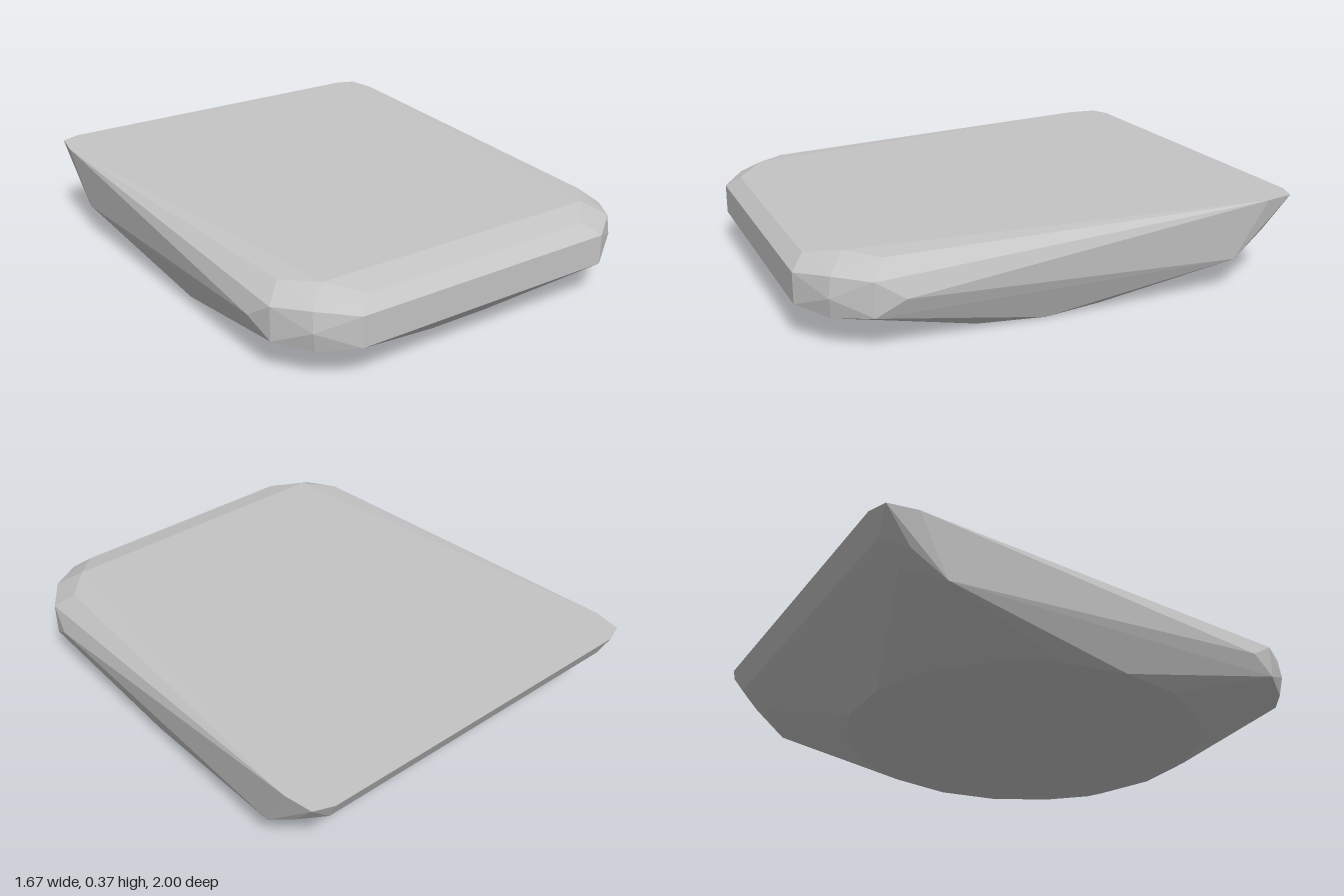
import * as THREE from 'three';
import { ConvexGeometry } from 'three/addons/geometries/ConvexGeometry.js';

export function createModel() {
  const model = new THREE.Group();
  model.name = 'bevelledSlab';
  const grey = new THREE.MeshStandardMaterial({ color: 0xc4c4c4 });
  grey.name = 'light stone grey';

  // Corner points of the +x half, mirrored to the other side
  const half = [
    // lower front rim
    [0.58, 0.14, 1.0], [0.71, 0.12, 0.9], [0.81, 0.135, 0.77],
    // upper front rim and the swell of the front corner
    [0.58, 0.262, 1.0], [0.72, 0.28, 0.9], [0.81, 0.27, 0.77],
    [0.725, 0.2, 0.91], [0.835, 0.2, 0.66],
    // front bevel up to the top face
    [0.52, 0.31, 0.945], [0.63, 0.338, 0.83], [0.74, 0.33, 0.71],
    // back top edge
    [0.73, 0.37, -1.0], [0.81, 0.37, -0.97], [0.832, 0.368, -0.85],
    // back underside corner
    [0.72, 0.28, -0.955], [0.79, 0.235, -0.86], [0.7, 0.2, -0.86], [0.81, 0.135, -0.72],
  ];
  const points = [];
  for (const [x, y, z] of half) {
    points.push(new THREE.Vector3(x, y, z), new THREE.Vector3(-x, y, z));
  }

  // Rounded flat foot
  for (let i = 0; i < 18; i++) {
    const a = (i / 18) * Math.PI * 2;
    points.push(new THREE.Vector3(0.75 * Math.cos(a), 0, 0.08 + 0.765 * Math.sin(a)));
  }

  // The hull has separate corners per face, so its facets stay flat
  const slab = new THREE.Mesh(new ConvexGeometry(points), grey);
  slab.name = 'slab';
  model.add(slab);
  return model;
}
